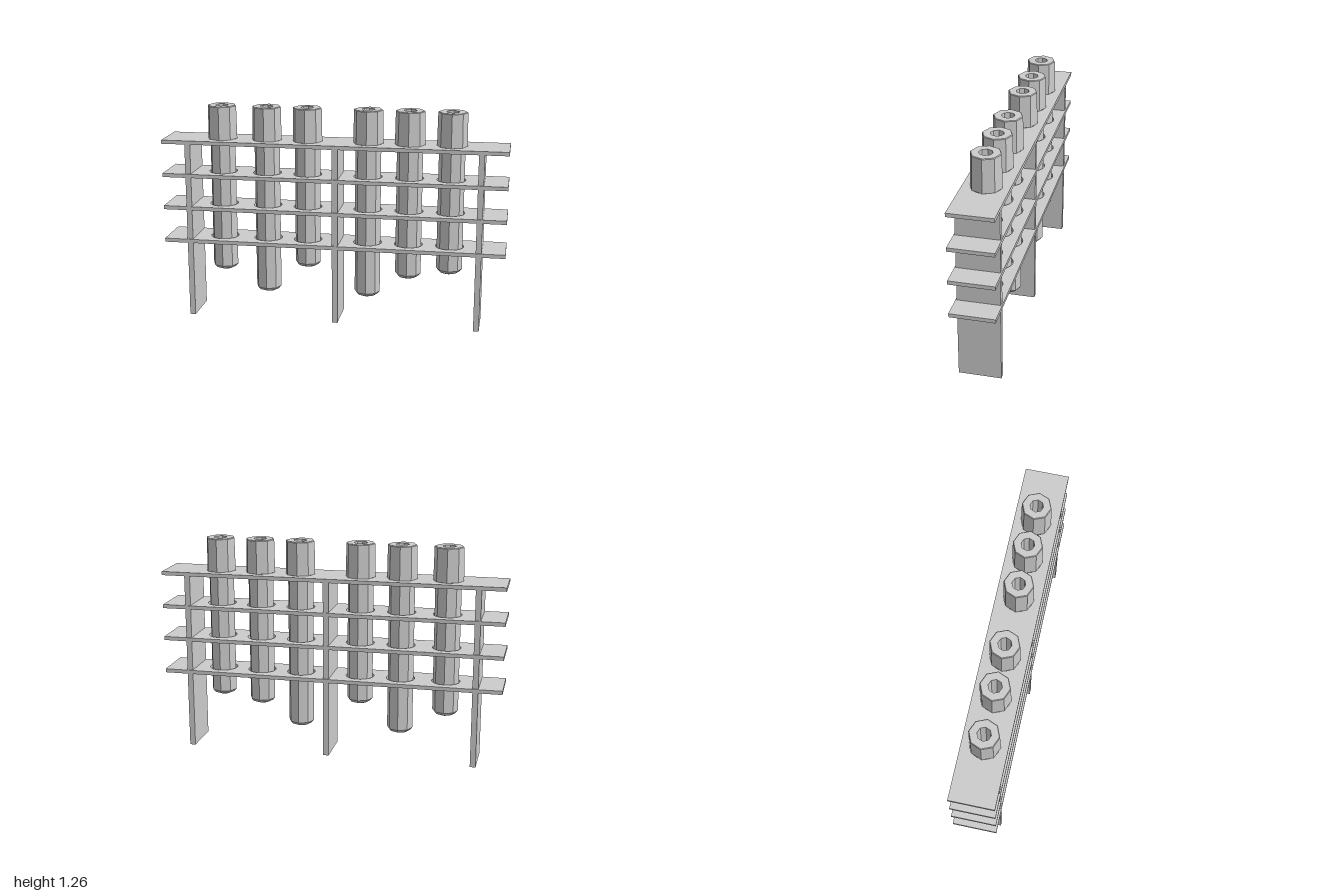
import * as THREE from 'three';

const material = new THREE.MeshStandardMaterial({ color: 0xcccccc, flatShading: true });
const SIDES = 8;

// x position and lowest point of each tube
const TUBES = [
  [-0.665, 0.265], [-0.4, 0.14], [-0.16, 0.305],
  [0.195, 0.14], [0.435, 0.265], [0.675, 0.305],
];
const SHELF_Y = [0.45, 0.65, 0.845, 1.043];
const SHELF_THICKNESS = 0.022;
const TOP = 1.26;

function addMesh(parent, name, geometry, x = 0, y = 0, z = 0) {
  const mesh = new THREE.Mesh(geometry, material);
  mesh.name = name;
  mesh.position.set(x, y, z);
  parent.add(mesh);
  return mesh;
}

// Flat shelf with a hole for every tube
function shelfGeometry() {
  const w = 1, d = 0.127;
  const shape = new THREE.Shape([
    new THREE.Vector2(-w, -d), new THREE.Vector2(w, -d),
    new THREE.Vector2(w, d), new THREE.Vector2(-w, d),
  ]);
  for (const [x] of TUBES) {
    const hole = new THREE.Path();
    hole.absarc(x, 0, 0.082, 0, Math.PI * 2, true);
    shape.holes.push(hole);
  }
  const geometry = new THREE.ExtrudeGeometry(shape, {
    depth: SHELF_THICKNESS, bevelEnabled: false, curveSegments: 16,
  });
  return geometry.rotateX(-Math.PI / 2);
}

// Eight-sided tube: blunt tip, straight body, wider collar, blind bore
function tubeGeometry(bottom) {
  const collar = SHELF_Y[3] + SHELF_THICKNESS;
  const profile = [
    [0, bottom], [0.035, bottom + 0.005], [0.06, bottom + 0.015], [0.075, bottom + 0.032],
    [0.075, collar], [0.087, collar], [0.084, TOP - 0.004], [0.08, TOP],
    [0.038, TOP], [0.038, 0.95], [0, 0.95],
  ].map(([r, y]) => new THREE.Vector2(r, y));
  return new THREE.LatheGeometry(profile, SIDES);
}

export function createModel() {
  const rack = new THREE.Group();
  rack.name = 'tubeRack';

  // Shelves
  const shelf = shelfGeometry();
  SHELF_Y.forEach((y, i) => addMesh(rack, `shelf${i + 1}`, shelf, 0, y));

  // Upright legs, running up to the top shelf
  const leg = new THREE.BoxGeometry(0.033, SHELF_Y[3], 0.24);
  const legs = { rightLeg: -0.847, middleLeg: 0.019, leftLeg: 0.848 };
  for (const [name, x] of Object.entries(legs)) addMesh(rack, name, leg, x, SHELF_Y[3] / 2);

  // Tubes of different lengths
  TUBES.forEach(([x, bottom], i) => addMesh(rack, `tube${i + 1}`, tubeGeometry(bottom), x));

  return rack;
}
